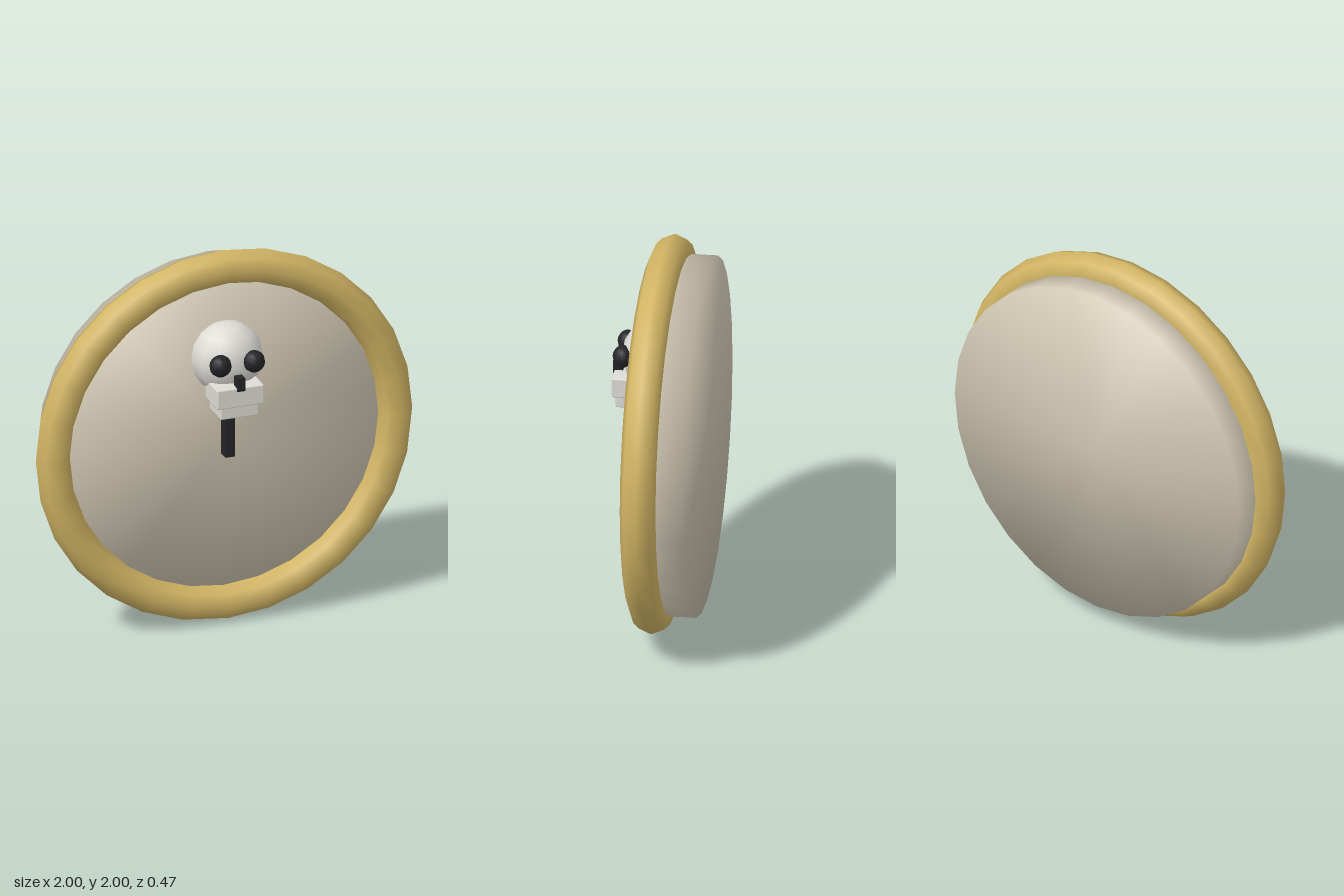
import * as THREE from 'three';
import { RoundedBoxGeometry } from 'three/addons/geometries/RoundedBoxGeometry.js';

const paint = (color) => new THREE.MeshStandardMaterial({ color });

export function createModel() {
  const model = new THREE.Group();
  const gold = paint(0xd2b564), board = paint(0xcfc6b2), bone = paint(0xdedcd6), dark = paint(0x242428);

  const add = (name, geometry, material, x, y, z) => {
    const mesh = new THREE.Mesh(geometry, material);
    mesh.name = name;
    mesh.position.set(x, y, z);
    model.add(mesh);
    return mesh;
  };

  // Round rim: 28 steps around, eight-sided tube
  add('rim', new THREE.TorusGeometry(0.91, 0.09, 8, 28), gold, 0, 1, -0.01);

  // Flat board behind the rim, with normals softened over its edge
  const front = -0.01, back = -0.232, thick = front - back;
  const disc = new THREE.CylinderGeometry(0.905, 0.905, thick, 28);
  disc.rotateX(Math.PI / 2);
  const p = disc.attributes.position, n = new THREE.Vector3();
  for (let i = 0; i < p.count; i++) {
    n.set(p.getX(i) / 0.905, p.getY(i) / 0.905, Math.sign(p.getZ(i))).normalize();
    disc.attributes.normal.setXYZ(i, n.x, n.y, n.z);
  }
  add('board', disc, board, 0, 1, (front + back) / 2);

  // Skull emblem
  add('cranium', new THREE.SphereGeometry(0.187, 12, 8), bone, 0, 1.44, 0.03).scale.z = 0.88;
  add('upperJaw', new RoundedBoxGeometry(0.25, 0.105, 0.18, 1, 0.008), bone, 0, 1.297, 0.143);
  add('lowerJaw', new RoundedBoxGeometry(0.2, 0.07, 0.16, 1, 0.006), bone, 0, 1.215, 0.135);
  for (const side of [-1, 1]) {
    add(side > 0 ? 'leftEye' : 'rightEye', new THREE.SphereGeometry(0.057, 12, 8), dark,
      side * 0.089, 1.46, 0.18).scale.z = 0.9;
  }
  add('nose', new THREE.BoxGeometry(0.042, 0.07, 0.05), dark, 0, 1.367, 0.213);

  // Narrow bar hanging below the jaw
  add('bar', new THREE.BoxGeometry(0.05, 0.3, 0.06), dark, 0, 1.06, 0.048);

  return model;
}
